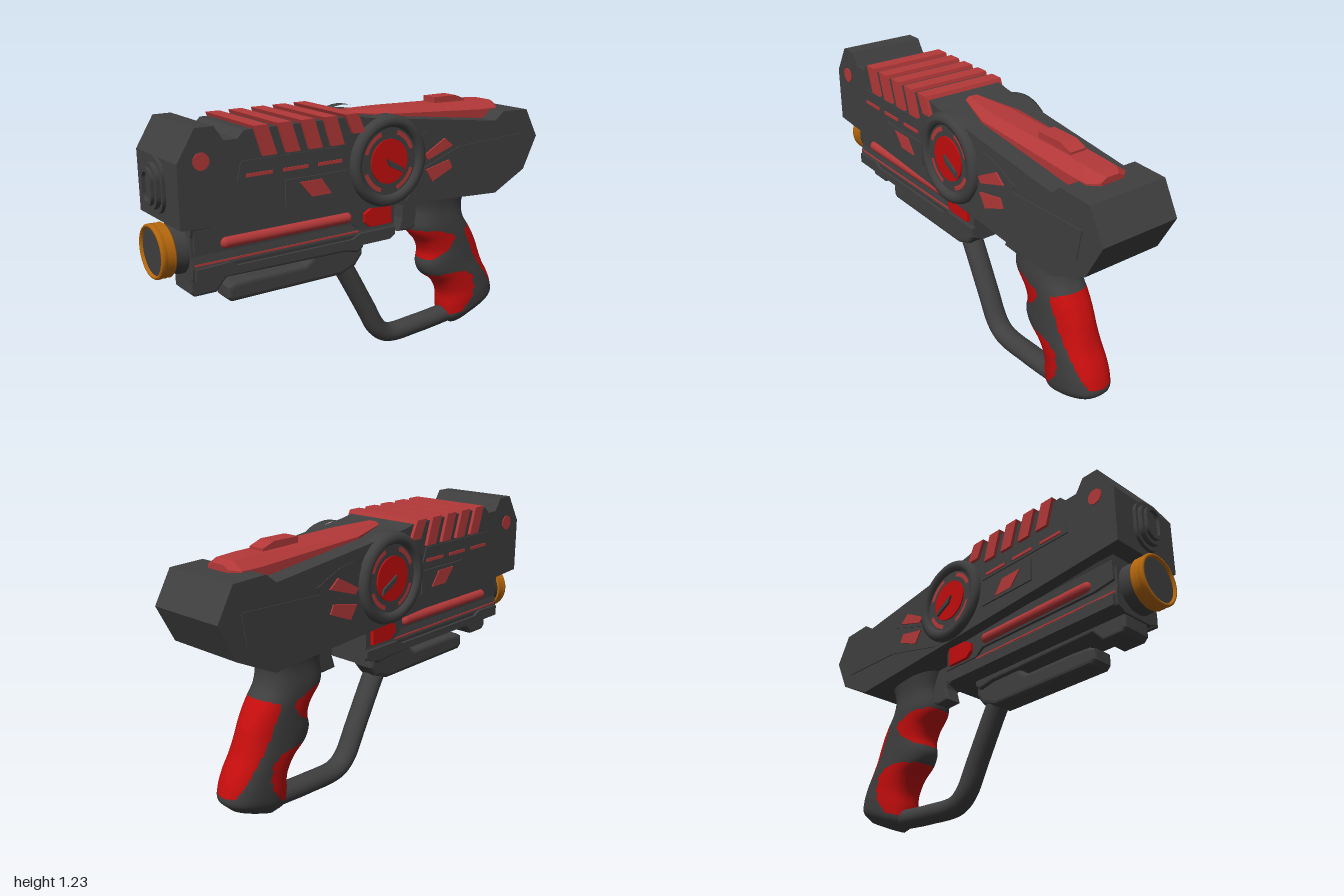
import * as THREE from 'three';

const mat = (name, color, side = THREE.FrontSide) => Object.assign(new THREE.MeshStandardMaterial({ color, side }), { name });
const dark = mat('charcoal plastic', 0x3f3f3f);
const red = mat('trim red', 0xb33838);
const bright = mat('bright red', 0xc40d0d);
const gold = mat('muzzle orange', 0xb5670c);

// Shape from [a, b] pairs, with an optional hole
function shapeOf(pts, hole) {
  const s = new THREE.Shape(pts.map(p => new THREE.Vector2(...p)));
  if (hole) s.holes.push(new THREE.Path(hole.map(p => new THREE.Vector2(...p))));
  return s;
}

// Side profile of [z, y] points, extruded across x and centred on cx
function profile(pts, width, cx = 0, bevel = 0, hole) {
  const depth = width - 2 * bevel;
  const g = new THREE.ExtrudeGeometry(shapeOf(pts, hole), {
    depth, bevelEnabled: bevel > 0, bevelThickness: bevel, bevelSize: bevel, bevelOffset: -bevel, bevelSegments: 3,
  });
  return g.translate(0, 0, -depth / 2).rotateY(-Math.PI / 2).translate(cx, 0, 0);
}

const rect = (z0, z1, y0, y1) => [[z0, y0], [z1, y0], [z1, y1], [z0, y1]];

// Upright rounded slot outline
function slot(w, h, cy) {
  const r = w / 2, pts = [];
  for (let i = 0; i <= 24; i++) {
    const a = (i / 24) * Math.PI;
    pts.push([r * Math.cos(a), cy + h / 2 - r + r * Math.sin(a)]);
  }
  return [...pts, ...pts.map(([x, y]) => [-x, 2 * cy - y])];
}

// Skin over rings of Vector3 with closed ends; isRed(point) moves quads to a second group
function loft(rings, isRed = () => false) {
  const n = rings[0].length, pos = [], lists = [[], []];
  const add = p => pos.push(p.x, p.y, p.z);
  rings.forEach(r => r.forEach(add));
  for (let i = 0; i < rings.length - 1; i++) for (let j = 0; j < n; j++) {
    const k = (j + 1) % n, a = i * n + j, b = i * n + k, c = a + n, d = b + n;
    const mid = rings[i][j].clone().add(rings[i + 1][k]).multiplyScalar(0.5);
    lists[isRed(mid) ? 1 : 0].push(a, b, d, a, d, c);
  }
  [0, rings.length - 1].forEach((i, end) => {
    const mid = rings[i].reduce((s, p) => s.add(p), new THREE.Vector3()).divideScalar(n);
    const m = pos.length / 3;
    add(mid);
    for (let j = 0; j < n; j++) {
      const a = i * n + j, b = i * n + (j + 1) % n;
      lists[0].push(m, ...(end ? [a, b] : [b, a]));
    }
  });
  const g = new THREE.BufferGeometry();
  g.setAttribute('position', new THREE.Float32BufferAttribute(pos, 3));
  g.setIndex(lists.flat());
  g.addGroup(0, lists[0].length, 0);
  g.addGroup(lists[0].length, lists[1].length, 1);
  g.computeVertexNormals();
  return g;
}

function inside(poly, z, y) {
  let hit = false;
  poly.forEach(([z1, y1], i) => {
    const [z2, y2] = poly[(i + 1) % poly.length];
    if ((y1 > y) !== (y2 > y) && z < ((z2 - z1) * (y - y1)) / (y2 - y1) + z1) hit = !hit;
  });
  return hit;
}

export function createModel() {
  const model = new THREE.Group();
  model.name = 'toyBlaster';
  const add = (name, geo, material) => {
    const m = new THREE.Mesh(geo, material);
    m.name = name;
    model.add(m);
    return m;
  };

  // Main body
  add('body', profile([[0.95, 0.84], [0.95, 1.1], [0.87, 1.23], [0.79, 1.23], [0.75, 1.17], [0.69, 1.17], [0.66, 1.2],
    [0.12, 1.2], [0.05, 1.185], [-0.71, 1.095], [-0.76, 1.135], [-0.92, 1.13], [-1, 0.99], [-0.92, 0.83],
    [-0.73, 0.735], [-0.15, 0.77]], 0.38), dark);

  // Slanted bands over the top
  for (let i = 0; i < 5; i++) {
    const z = 0.625 - i * 0.11, low = i === 4 ? 1.13 : 1.09;
    add('topBand', profile([[z, 1.215], [z - 0.065, 1.215], [z - 0.105, low], [z - 0.04, low]], 0.41), red);
  }

  // Rear top rail and its sight
  const railRing = ([z, w, top, low]) => [[w, low], [w, low + (top - low) * 0.6], [w * 0.5, top], [-w * 0.5, top],
    [-w, low + (top - low) * 0.6], [-w, low]].map(([x, y]) => new THREE.Vector3(x, y, z));
  const rail = loft([[-0.835, 0.06, 1.16, 1.12], [-0.8, 0.1, 1.172, 1.09], [-0.71, 0.1, 1.178, 1.08], [-0.15, 0.1, 1.192, 1.14],
    [0.05, 0.04, 1.198, 1.17]].map(railRing)).toNonIndexed();
  rail.clearGroups();
  rail.computeVertexNormals();
  add('topRail', rail, red);
  add('rearSight', profile([[-0.45, 1.17], [-0.45, 1.212], [-0.58, 1.212], [-0.64, 1.19], [-0.64, 1.16]], 0.08), red);

  // Details on both sides of the body
  for (const s of [1, -1]) {
    const plate = (name, pts, material, x, t = 0.009, hole) => add(name, profile(pts, t, s * x, 0, hole), material);
    const toSide = g => g.rotateZ(-s * Math.PI / 2).translate(0, 0.985, -0.05);

    const ring = [[0.205, 0.15], [0.205, 0.2], [0.198, 0.217], [0.18, 0.226], [0.162, 0.222], [0.152, 0.208], [0.15, 0.17]]
      .map(p => new THREE.Vector2(...p));
    add('dialRing', toSide(new THREE.LatheGeometry(ring, 48)), dark);
    add('dialBase', toSide(new THREE.CylinderGeometry(0.155, 0.155, 0.05, 48).translate(0, 0.177, 0)), dark);
    add('dialFace', toSide(new THREE.CylinderGeometry(0.1, 0.1, 0.008, 40).translate(0, 0.205, 0)), bright);
    for (let i = 0; i < 4; i++) {
      const arc = new THREE.RingGeometry(0.122, 0.142, 14, 1, Math.PI / 4 + i * Math.PI / 2 - 0.45, 0.9);
      add('dialArc', arc.rotateY(s * Math.PI / 2).translate(s * 0.204, 0.985, -0.05), red);
    }
    plate('dialPointer', [[-0.03, 1.0], [-0.045, 0.965], [-0.125, 0.925], [-0.12, 0.95]], dark, 0.213, 0.012);

    add('frontDot', new THREE.CylinderGeometry(0.035, 0.035, 0.008, 24).rotateZ(Math.PI / 2)
      .translate(s * 0.19, 1.1, 0.85), red);

    plate('dashPanel', [[0.7, 1.0], [0.68, 1.08], [0.2, 1.08], [0.17, 1.0]], dark, 0.191);
    for (const z of [0.66, 0.49, 0.32]) plate('redDash', rect(z, z - 0.12, 1.013, 1.027), red, 0.196);
    plate('windowFrame', rect(0.48, 0.17, 0.865, 0.975), dark, 0.193, 0.009, rect(0.46, 0.19, 0.88, 0.96));
    plate('windowStripe', [[0.41, 0.955], [0.3, 0.955], [0.25, 0.885], [0.35, 0.885]], red, 0.19);

    plate('rearPanel', [[-0.16, 0.785], [-0.25, 0.92], [-0.48, 1.0], [-0.89, 1.015], [-0.87, 0.88], [-0.5, 0.87]], dark, 0.19);
    plate('rearUpperPanel', [[-0.17, 1.03], [-0.28, 1.1], [-0.36, 1.09], [-0.5, 1.03], [-0.48, 1.01], [-0.25, 0.93]], dark, 0.189);
    plate('redFin', [[-0.26, 0.985], [-0.38, 1.05], [-0.43, 1.01], [-0.28, 0.96]], red, 0.196);
    plate('redFin', [[-0.27, 0.915], [-0.41, 0.945], [-0.43, 0.905], [-0.31, 0.855]], red, 0.196);

    // Lower housing sides
    plate('lowerSidePlate', [[0.87, 0.6], [0.87, 0.65], [0.72, 0.655], [0.68, 0.635], [0.1, 0.635], [0.06, 0.655],
      [-0.14, 0.655], [-0.14, 0.62], [-0.11, 0.6]], dark, 0.132, 0.02);
    plate('upperSidePlate', [[0.87, 0.72], [0.87, 0.81], [-0.14, 0.8], [-0.14, 0.67], [0.06, 0.67], [0.1, 0.705], [0.77, 0.705]], dark, 0.125, 0.016);
    plate('redLine', rect(0.87, 0.06, 0.66, 0.668), red, 0.126);
    plate('redBlock', [[0.04, 0.745], [0, 0.768], [-0.11, 0.768], [-0.11, 0.68], [0.01, 0.68], [0.04, 0.705]], bright, 0.138, 0.024);
    add('redRod', new THREE.CapsuleGeometry(0.025, 0.6, 6, 16).rotateX(Math.PI / 2).translate(s * 0.13, 0.74, 0.43), red);
  }

  // Front port
  const port = (w, h, z0, z1, hole) => new THREE.ExtrudeGeometry(shapeOf(slot(w, h, 0.985), hole),
    { depth: z1 - z0, bevelEnabled: false }).translate(0, 0, z0);
  add('portBase', port(0.155, 0.23, 0.94, 0.965), dark);
  add('portCollar', port(0.13, 0.19, 0.96, 0.985), dark);
  add('portRim', port(0.1, 0.155, 0.98, 1, slot(0.065, 0.12, 0.985)), dark);

  // Lower housing and muzzle
  const half = [[0.08, 0.585], [0.125, 0.605], [0.13, 0.65], [0.12, 0.7], [0.12, 0.78], [0.135, 0.83]];
  const section = [...half, ...half.map(([x, y]) => [-x, y]).reverse()];
  add('lowerHousing', new THREE.ExtrudeGeometry(shapeOf(section), { depth: 1.02, bevelEnabled: false }).translate(0, 0, -0.14), dark);
  const turn = (pts, seg = 48) => new THREE.LatheGeometry(pts.map(p => new THREE.Vector2(...p)), seg)
    .rotateX(Math.PI / 2).translate(0, 0.715, 0);
  add('muzzleCollar', turn([[0.11, 0.87], [0.11, 0.9], [0.104, 0.91], [0.104, 0.95]]), dark);
  add('muzzleRing', turn([[0.1, 0.935], [0.11, 0.935], [0.115, 0.942], [0.108, 0.951], [0.115, 0.96], [0.108, 0.969], [0.115, 0.978],
    [0.115, 0.994], [0.11, 1], [0.102, 1], [0.099, 0.985]]), gold);
  add('muzzleLens', new THREE.CylinderGeometry(0.101, 0.101, 0.05, 48).rotateX(Math.PI / 2).translate(0, 0.715, 0.963), dark);

  // Under rail and fore bar
  add('underRail', profile([[0.87, 0.61], [0.87, 0.53], [0.85, 0.51], [0.75, 0.51], [0.7, 0.565], [0.1, 0.555], [0.02, 0.54],
    [-0.01, 0.56], [-0.01, 0.61]], 0.15, 0, 0.012), dark);
  add('foreBar', profile([[0.69, 0.51], [0.69, 0.46], [0.67, 0.44], [0.1, 0.44], [0.02, 0.47], [-0.02, 0.52], [-0.02, 0.6],
    [0.25, 0.6], [0.27, 0.55], [0.3, 0.53], [0.57, 0.53], [0.66, 0.525]], 0.115, 0, 0.02), dark);

  // Trigger and guard
  add('trigger', profile([[-0.23, 0.79], [-0.36, 0.79], [-0.36, 0.6], [-0.32, 0.58], [-0.24, 0.585], [-0.26, 0.65], [-0.26, 0.72]], 0.08, 0, 0.01), dark);
  const guardPath = new THREE.CatmullRomCurve3([[0.08, 0.49], [0.045, 0.435], [-0.07, 0.23], [-0.145, 0.1], [-0.21, 0.056], [-0.4, 0.055], [-0.61, 0.07]]
    .map(([z, y]) => new THREE.Vector3(0, y, z)), false, 'centripetal');
  add('triggerGuard', new THREE.TubeGeometry(guardPath, 60, 0.047, 20).scale(1.12, 1, 1), dark);

  // Grip: rows of half width, front z, front y, back z, back y, from the heel upward
  const rows = [[0.05, -0.62, 0.012, -0.835, 0.1], [0.095, -0.57, 0.05, -0.88, 0.155], [0.105, -0.56, 0.11, -0.87, 0.21],
    [0.105, -0.555, 0.19, -0.84, 0.275], [0.105, -0.515, 0.26, -0.805, 0.33], [0.104, -0.437, 0.32, -0.775, 0.4],
    [0.104, -0.415, 0.37, -0.755, 0.45], [0.104, -0.425, 0.435, -0.725, 0.505], [0.105, -0.405, 0.49, -0.695, 0.55],
    [0.105, -0.34, 0.57, -0.655, 0.61], [0.1, -0.34, 0.68, -0.645, 0.68], [0.115, -0.3, 0.78, -0.68, 0.78]];
  const front = new THREE.CatmullRomCurve3(rows.map(r => new THREE.Vector3(r[0], r[2], r[1])));
  const back = new THREE.CatmullRomCurve3(rows.map(r => new THREE.Vector3(r[0], r[4], r[3])));
  const soft = v => Math.sign(v) * Math.abs(v) ** 0.8;
  const rings = [];
  for (let i = 0; i <= 110; i++) {
    const f = front.getPoint(i / 110), b = back.getPoint(i / 110), ring = [];
    for (let j = 0; j < 96; j++) {
      const a = (j / 96) * Math.PI * 2, p = b.clone().lerp(f, 0.5 + 0.5 * soft(Math.cos(a)));
      p.x = f.x * soft(Math.sin(a));
      ring.push(p);
    }
    rings.push(ring);
  }
  const pads = [
    [[-0.62, 0.54], [-0.74, 0.58], [-0.95, 0.17], [-0.86, 0.18], [-0.78, 0.28], [-0.7, 0.38], [-0.655, 0.47]],
    [[-0.28, 0.575], [-0.45, 0.565], [-0.53, 0.535], [-0.555, 0.505], [-0.52, 0.455], [-0.44, 0.405], [-0.36, 0.4]],
    [[-0.42, 0.31], [-0.54, 0.325], [-0.62, 0.325], [-0.68, 0.29], [-0.7, 0.23], [-0.69, 0.17], [-0.63, 0.09], [-0.5, 0.06]],
  ];
  add('grip', loft(rings, p => pads.some(poly => inside(poly, p.z, p.y))), [dark, bright]);

  return model;
}
